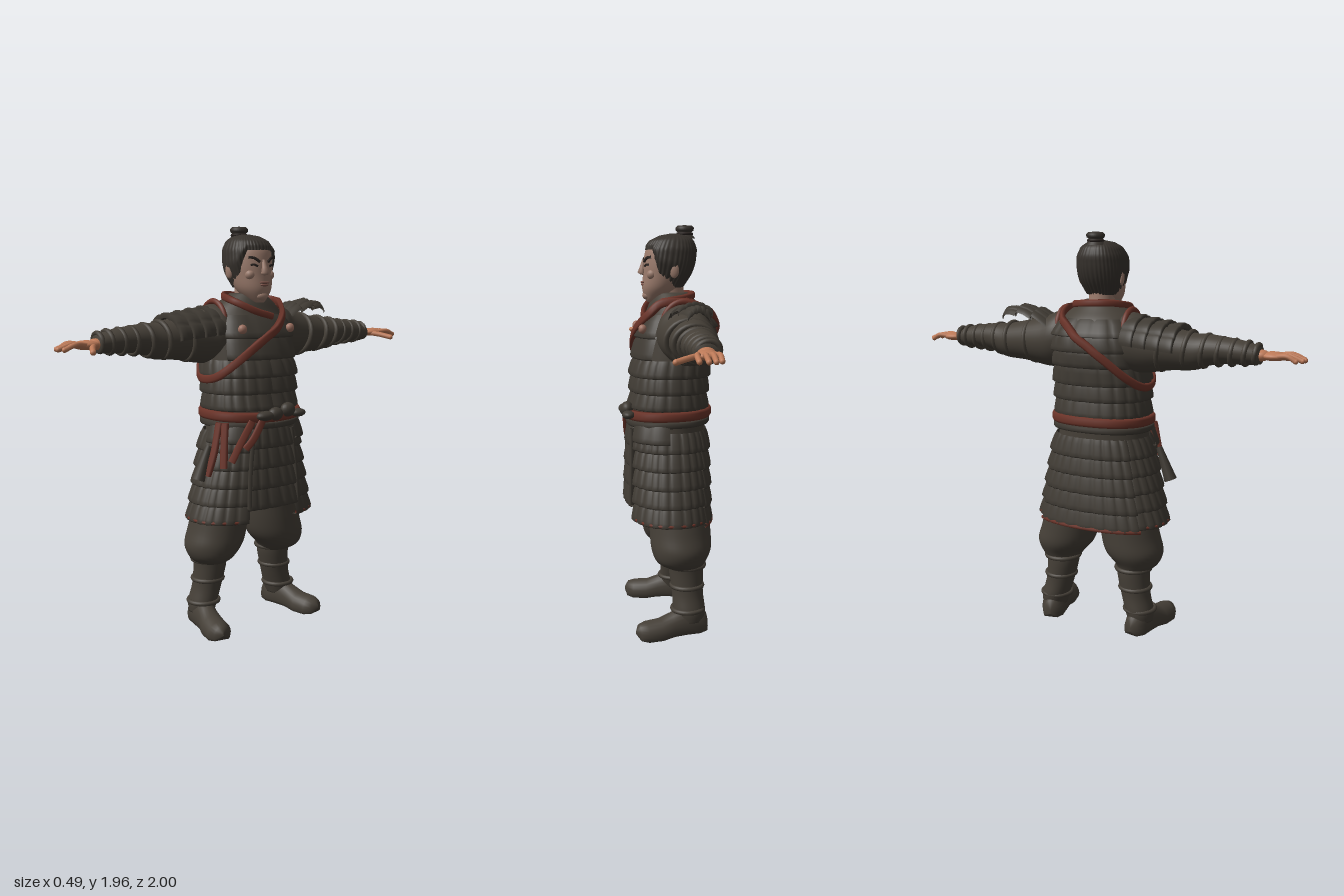
import * as THREE from 'three';

const mat = (name, color) => new THREE.MeshStandardMaterial({ name, color, side: THREE.DoubleSide });
const V = (x, y, z) => new THREE.Vector3(x, y, z);
const PI = Math.PI;

// Surface through rows of points; wrap closes every row into a loop
function skin(rows, wrap = true) {
  const n = rows[0].length, pos = [], idx = [];
  rows.forEach(r => r.forEach(p => pos.push(p.x, p.y, p.z)));
  for (let i = 0; i < rows.length - 1; i++) {
    for (let j = 0; j < (wrap ? n : n - 1); j++) {
      const k = (j + 1) % n, a = i * n + j, b = i * n + k, c = a + n, d = b + n;
      idx.push(a, c, b, b, c, d);
    }
  }
  const g = new THREE.BufferGeometry();
  g.setAttribute('position', new THREE.Float32BufferAttribute(pos, 3));
  g.setIndex(idx);
  g.computeVertexNormals();
  return g;
}

// Point on a body described by rings [y, cx, cz, rx, rz]; angle 0 faces +x, PI/2 faces +z
function surf(rings, y, th, off = 0) {
  const up = rings[0][0] < rings[rings.length - 1][0];
  const R = up ? rings : [...rings].reverse();
  let i = 0;
  while (i < R.length - 2 && y > R[i + 1][0]) i++;
  const t = THREE.MathUtils.clamp((y - R[i][0]) / (R[i + 1][0] - R[i][0]), 0, 1);
  const [, cx, cz, rx, rz] = R[i].map((v, k) => v + (R[i + 1][k] - v) * t);
  const c = Math.cos(th), s = Math.sin(th), e = v => Math.sign(v) * Math.abs(v) ** 0.86;
  return V(cx + (rx + off) * e(c), y, cz + (rz + off) * e(s));
}

const around = (n, f) => Array.from({ length: n }, (_, i) => f(i / n * 2 * PI));
const span = (n, f) => Array.from({ length: n + 1 }, (_, i) => f(i / n));

// Closed body lofted through smoothed rings
function loft(rings, n = 36) {
  const curves = rings[0].map((_, k) => new THREE.SplineCurve(rings.map((r, i) => new THREE.Vector2(i, r[k]))));
  const rows = span(rings.length * 4, t => {
    const r = curves.map(c => c.getPoint(t).y);
    return around(n, a => V(r[1] + r[3] * Math.cos(a), r[0], r[2] + r[4] * Math.sin(a)));
  });
  const cap = r => r.map(() => r.reduce((s, p) => s.add(p), V(0, 0, 0)).divideScalar(n));
  return skin([cap(rows[0].map(p => p.clone())), ...rows, cap(rows[rows.length - 1].map(p => p.clone()))]);
}

// Flat strip laid on a body along [angle, y] points
function band(rings, path, width, off, thick = 0.012, closed = false) {
  const curve = new THREE.SplineCurve(path.map(p => new THREE.Vector2(...p)));
  const at = (t, o) => { const p = curve.getPoint(t); return surf(rings, p.y, p.x, o); };
  return skin(span(64, t => {
    const p = at(t, off), q = at(t, off + 0.02);
    const nrm = q.sub(p).normalize();
    const T = at(Math.min(1, t + 0.01), off).sub(at(Math.max(0, t - 0.01), off)).normalize();
    const B = T.cross(nrm).normalize().multiplyScalar(width / 2);
    return [[-1, -1], [-1, 0.6], [-0.5, 1], [0.5, 1], [1, 0.6], [1, -1]]
      .map(([b, h]) => p.clone().addScaledVector(B, b).addScaledVector(nrm, h * thick));
  }));
}

// Overlapping rows of armour plates around part of a body
function lames(rings, top, bottom, n, a0, a1, off, count) {
  const out = [], h = (top - bottom) / n;
  for (let i = 0; i < n; i++) {
    const steps = [[0, -0.004], [0.3, 0.006], [0.8, 0.014], [1.02, 0.016], [1.1, 0.01], [1.06, -0.012]];
    out.push(skin(steps.map(([f, o]) => span(count * 6, t => {
      const bump = 0.006 * Math.sqrt(Math.abs(Math.sin(t * count * PI)));
      return surf(rings, top - h * (i + f), a0 + (a1 - a0) * t, off + o + bump);
    })), false));
  }
  return out;
}

const TORSO = [[0.96, 0, 0, 0.18, 0.235], [1.07, 0, 0, 0.178, 0.222], [1.15, -0.005, 0, 0.172, 0.225],
  [1.27, -0.01, 0, 0.176, 0.228], [1.4, -0.035, 0, 0.185, 0.23], [1.48, -0.045, 0, 0.18, 0.225],
  [1.55, -0.045, 0, 0.145, 0.195], [1.6, -0.03, 0, 0.11, 0.14], [1.64, -0.02, 0, 0.078, 0.085]];
const SKIRT = [[0.52, 0, 0, 0.19, 0.33], [0.56, 0, 0, 0.19, 0.325], [0.75, 0, 0, 0.185, 0.285], [1.04, 0, 0, 0.175, 0.225]];
const HEAD = [[1.595, 0.07, 0, 0.025, 0.025], [1.615, 0.05, 0, 0.058, 0.05], [1.66, 0.03, 0, 0.09, 0.083],
  [1.72, 0.012, 0, 0.104, 0.099], [1.78, 0, 0, 0.113, 0.105], [1.84, -0.01, 0, 0.112, 0.1],
  [1.88, -0.02, 0, 0.088, 0.078], [1.9, -0.028, 0, 0.05, 0.045], [1.907, -0.03, 0, 0.001, 0.001]];

export function createModel() {
  const root = new THREE.Group();
  const cloth = mat('dark cloth', 0x453f37), armour = mat('armour', 0x3f3a33), red = mat('red trim', 0x6c3429);
  const face = mat('face skin', 0x9b7b6c), hand = mat('hand skin', 0xbd7a58), hair = mat('hair', 0x37322d);
  const dark = mat('dark features', 0x2a2320), boss = mat('bosses', 0x9c7060), lipMat = mat('lips', 0x80564c);
  const add = (name, geo, m, parent = root) => {
    const mesh = new THREE.Mesh(geo, m);
    mesh.name = name;
    parent.add(mesh);
    return mesh;
  };
  const blob = (name, m, p, s, parent = root) => {
    const b = add(name, new THREE.SphereGeometry(1, 20, 14), m, parent);
    b.position.set(...p);
    b.scale.set(...s);
    return b;
  };

  // Torso and its plates
  add('torso', loft(TORSO), cloth);
  lames(TORSO, 1.33, 1.1, 3, 0, 2 * PI, 0.002, 22).forEach(g => add('waistPlates', g, armour));
  lames(TORSO, 1.54, 1.34, 2, -0.95, 0.95, 0.0, 3).forEach(g => add('chestPlate', g, armour));
  lames(TORSO, 1.56, 1.34, 3, PI - 0.95, PI + 0.95, 0.0, 5).forEach(g => add('backPlate', g, armour));
  add('crossStrap', band(TORSO, [[-1.9, 1.6], [-0.95, 1.59], [-0.35, 1.51], [0.2, 1.41], [0.8, 1.31], [1.3, 1.25],
    [1.8, 1.24], [2.3, 1.29], [2.9, 1.41], [3.5, 1.53], [4.383, 1.6]], 0.038, 0.02), red);
  add('collar', band(TORSO, [[-0.15, 1.53], [0.5, 1.58], [1.2, 1.61], [2.2, 1.63], [PI, 1.63], [4.2, 1.62], [5.3, 1.6]], 0.032, 0.012), red);
  for (const s of [-1, 1]) blob('chestBoss', boss, [0.135, 1.475, s * 0.142], [0.02, 0.022, 0.022]);

  // Belt, knot and hanging ribbons
  add('belt', band(TORSO, [[0, 1.06], [1.57, 1.07], [PI, 1.075], [4.71, 1.07], [2 * PI, 1.06]], 0.045, 0.018, 0.016), red);
  add('lowerBelt', band(TORSO, [[0, 1.02], [1.57, 1.03], [PI, 1.035], [4.71, 1.03], [2 * PI, 1.02]], 0.03, 0.012), armour);
  for (const [y, z, sy, sz] of [[1.075, 0, 0.032, 0.04], [1.07, 0.06, 0.023, 0.05], [1.09, -0.075, 0.035, 0.04], [1.07, -0.14, 0.02, 0.04]])
    blob('beltKnot', armour, [0.205, y, z], [0.03, sy, sz]);
  for (const p of [[[0.45, 1.05], [0.65, 0.95], [0.8, 0.86]], [[0.25, 1.05], [0.4, 0.97], [0.55, 0.92]],
    [[1.2, 1.04], [1.22, 0.9], [1.3, 0.79]], [[1.05, 1.04], [1.0, 0.93], [0.95, 0.83]]])
    add('ribbon', band(SKIRT, p, 0.034, 0.035, 0.008), red);
  const tassel = add('sideTassel', new THREE.CylinderGeometry(0.015, 0.032, 0.17, 10), armour);
  tassel.position.set(0.05, 0.85, 0.31);
  tassel.rotation.x = -0.38;

  // Skirt panels: left and right sides, back and front apron
  for (const s of [-1, 1]) {
    lames(SKIRT, 0.99, 0.565, 5, s * 0.38, s * 2.35, 0.002, 9).forEach(g => add('sideSkirt', g, armour));
    add('sideHem', band(SKIRT, [[s * 0.42, 0.567], [s * 1.2, 0.567], [s * 2.3, 0.567]], 0.014, 0.012, 0.01), red);
    lames(SKIRT, 1.04, 0.95, 1, s * 0.5, s * 1.5, 0.016, 2).forEach(g => add('hipFlap', g, armour));
  }
  lames(SKIRT, 0.99, 0.55, 5, PI - 0.85, PI + 0.85, 0.006, 9).forEach(g => add('backSkirt', g, armour));
  add('backHem', band(SKIRT, [[PI - 0.85, 0.548], [PI, 0.548], [PI + 0.85, 0.548]], 0.018, 0.018, 0.01), red);
  lames(SKIRT, 1.02, 0.63, 4, -0.42, 0.42, 0.01, 5).forEach(g => add('frontApron', g, armour));
  for (const s of [-1, 1]) add('apronEdge', band(SKIRT, [[s * 0.4, 1], [s * 0.42, 0.8], [s * 0.4, 0.63]], 0.02, 0.022, 0.01), armour);

  // Legs: baggy trousers, wrapped shins and boots turned outward
  for (const s of [-1, 1]) {
    add('trousers', loft([[0.78, -0.02, s * 0.12, 0.14, 0.11], [0.62, -0.035, s * 0.15, 0.145, 0.135], [0.5, -0.04, s * 0.17, 0.148, 0.145],
      [0.42, -0.042, s * 0.192, 0.145, 0.145], [0.36, -0.04, s * 0.208, 0.12, 0.11], [0.325, -0.06, s * 0.2, 0.085, 0.08]]), cloth);
    add('shin', loft([[0.36, -0.06, s * 0.2, 0.085, 0.082], [0.3, -0.065, s * 0.2, 0.083, 0.08], [0.2, -0.07, s * 0.216, 0.076, 0.072],
      [0.12, -0.075, s * 0.238, 0.078, 0.07], [0.07, -0.075, s * 0.245, 0.07, 0.062]]), cloth);
    for (const [y, z, r] of [[0.335, 0.2, 0.085], [0.235, 0.211, 0.075], [0.125, 0.237, 0.075]]) {
      const wrap = add('shinWrap', new THREE.TorusGeometry(r, 0.011, 8, 32), cloth);
      wrap.rotation.x = PI / 2;
      wrap.position.set(-0.068, y, s * z);
    }
    const boot = add('boot', skin([[-0.088, 0.001, 0.05, 0.03], [-0.082, 0.04, 0.1, 0.012], [-0.04, 0.06, 0.135, 0.01], [0.03, 0.06, 0.145, 0.012],
      [0.09, 0.055, 0.115, 0.008], [0.15, 0.064, 0.09, 0], [0.22, 0.062, 0.085, 0], [0.255, 0.042, 0.075, 0.006], [0.272, 0.001, 0.045, 0.03]]
      .map(([x, w, top, low]) => around(24, a => V(x, low + (top - low) * Math.max(0, 0.3 + 0.7 * Math.sin(a)), w * Math.cos(a))))), cloth);
    boot.position.set(-0.075, 0, s * 0.245);
    boot.rotation.y = -s * 0.2;
  }

  // Arms, built along +z and mirrored
  for (const s of [1, -1]) {
    const arm = new THREE.Group();
    arm.name = s > 0 ? 'rightArm' : 'leftArm';
    arm.scale.z = s;
    root.add(arm);
    const sleeve = add('sleeve', loft([[0.08, -0.05, -1.45, 0.1, 0.12], [0.18, -0.055, -1.452, 0.13, 0.138], [0.26, -0.065, -1.437, 0.118, 0.125],
      [0.38, -0.067, -1.432, 0.1, 0.1], [0.5, -0.065, -1.425, 0.085, 0.084], [0.56, -0.06, -1.435, 0.08, 0.072], [0.64, -0.057, -1.438, 0.07, 0.06],
      [0.72, -0.055, -1.432, 0.062, 0.054], [0.8, -0.05, -1.424, 0.05, 0.04]]), cloth, arm);
    sleeve.rotation.x = PI / 2;
    for (const [z, r] of [[0.35, 0.1], [0.47, 0.084], [0.55, 0.072], [0.62, 0.06], [0.68, 0.055], [0.74, 0.05], [0.785, 0.041]]) {
      const fold = add('sleeveFold', new THREE.TorusGeometry(r, 0.012, 8, 28), cloth, arm);
      fold.position.set(-0.058, 1.431, z);
      fold.scale.x = 1.12;
      fold.rotation.x = 0.12;
    }
    blob('palm', hand, [-0.04, 1.423, 0.855], [0.05, 0.021, 0.062], arm);
    blob('wrist', hand, [-0.048, 1.424, 0.8], [0.038, 0.026, 0.04], arm);
    const finger = (name, pts, r) => {
      add(name, new THREE.TubeGeometry(new THREE.CatmullRomCurve3(pts), 10, r, 10), hand, arm);
      blob(name + 'Tip', hand, pts[2].toArray(), [r, r, r], arm);
    };
    [[-0.079, 0.962], [-0.052, 0.985], [-0.023, 0.99], [0.012, 0.978]].forEach(([x, z], i) => finger('finger',
      [V(-0.071 + i * 0.022, 1.425, 0.87), V(x, 1.43, 0.925), V(x, 1.41, z)], 0.0115));
    finger('thumb', [V(-0.015, 1.42, 0.83), V(0.035, 1.412, 0.86), V(0.088, 1.4, 0.885)], 0.013);
  }

  // Shoulder plates: rows curved over the right arm, a raised loose plate on the left
  const plateRows = (name, n, z0, z1, f) => {
    for (let i = 0; i < n; i++) {
      add(name, skin([[-0.05, -0.006], [0.5, 0.006], [0.95, 0.013], [1.05, 0.006], [1, -0.012]].map(([u, o]) => span(40, t => {
        const k = (i + u) / n;
        return f(k, t * 2 - 1, o + 0.005 * Math.sqrt(Math.abs(Math.sin(t * 5 * PI))), z0 + (z1 - z0) * k);
      })), false), armour);
    }
  };
  plateRows('shoulderGuard', 4, 0.18, 0.44, (k, a, o, z) => V(-0.065 + (0.145 + o) * Math.sin(a * 1.45),
    1.435 - k * 0.02 + (0.14 - k * 0.02 + o) * Math.cos(a * 1.45), z));
  plateRows('looseGuard', 3, -0.22, -0.5, (k, a, o, z) => V(-0.07 + (0.1 - 0.05 * k * k) * a,
    1.545 + 0.05 * Math.sin(k * 2.5) + o - 0.035 * a * a, z));
  for (const s of [-1, 1]) {
    const tie = add('shoulderTie', new THREE.TorusGeometry(0.1, 0.013, 8, 24, PI), red);
    tie.position.set(-0.055, 1.49, s * 0.175);
    tie.scale.y = 1.12;
  }

  // Neck, head and face
  add('neck', loft([[1.56, -0.025, 0, 0.075, 0.07], [1.63, -0.015, 0, 0.068, 0.064], [1.71, -0.01, 0, 0.068, 0.064]]), face);
  add('head', loft(HEAD), face);
  add('nose', skin([[1.795, 0.108, 0.008, 0.012], [1.76, 0.118, 0.014, 0.014], [1.735, 0.122, 0.02, 0.02], [1.725, 0.117, 0.018, 0.012], [1.722, 0.11, 0.001, 0.001]]
    .map(([y, x, w, d]) => around(12, a => V(x + d * Math.cos(a), y, w * Math.sin(a))))), face);
  blob('upperLip', lipMat, [0.117, 1.689, 0], [0.011, 0.006, 0.03]);
  blob('lowerLip', lipMat, [0.116, 1.678, 0], [0.01, 0.007, 0.024]);
  blob('chin', face, [0.092, 1.627, 0], [0.028, 0.023, 0.034]);
  blob('goatee', dark, [0.113, 1.657, 0], [0.006, 0.008, 0.009]);
  for (const s of [-1, 1]) {
    add('eye', band(HEAD, [[s * 0.28, 1.765], [s * 0.45, 1.772], [s * 0.62, 1.77]], 0.01, 0.001, 0.003), dark);
    add('brow', band(HEAD, [[s * 0.18, 1.785], [s * 0.42, 1.802], [s * 0.7, 1.806]], 0.012, 0.003, 0.004), dark);
    blob('cheek', face, [0.078, 1.725, s * 0.057], [0.026, 0.025, 0.025]);
    const ear = blob('ear', face, [-0.02, 1.745, s * 0.105], [0.023, 0.037, 0.012]);
    ear.rotation.y = s * 0.3;
  }

  // Combed hair with a low nape line, and a tied topknot
  add('hair', skin(span(18, t => around(160, a => {
    const c = Math.cos(a), low = c > 0.35 ? 1.735 + 0.105 * Math.min(1, (c - 0.35) / 0.4) : 1.665 + 0.07 * Math.max(0, (c + 0.5) / 0.85);
    const y = low + (1.907 - low) * Math.sin(t * PI / 2);
    const p = surf(HEAD, y, a, 0.014 * Math.min(1, t * 5) + 0.0025 * Math.cos(a * 40) * (1 - t));
    p.y += 0.01 * t;
    if (c < 0) p.x -= 0.012 * -c * (1 - t);
    return p;
  }))), hair);
  const knot = add('topknot', new THREE.LatheGeometry([[0.05, 1.895], [0.037, 1.91], [0.03, 1.92], [0.042, 1.93], [0.045, 1.943], [0.034, 1.953], [0, 1.956]]
    .map(p => new THREE.Vector2(...p)), 32), hair);
  knot.position.x = -0.085;
  const tieRing = add('topknotTie', new THREE.TorusGeometry(0.034, 0.007, 8, 28), dark);
  tieRing.rotation.x = PI / 2;
  tieRing.position.set(-0.085, 1.915, 0);
  return root;
}
